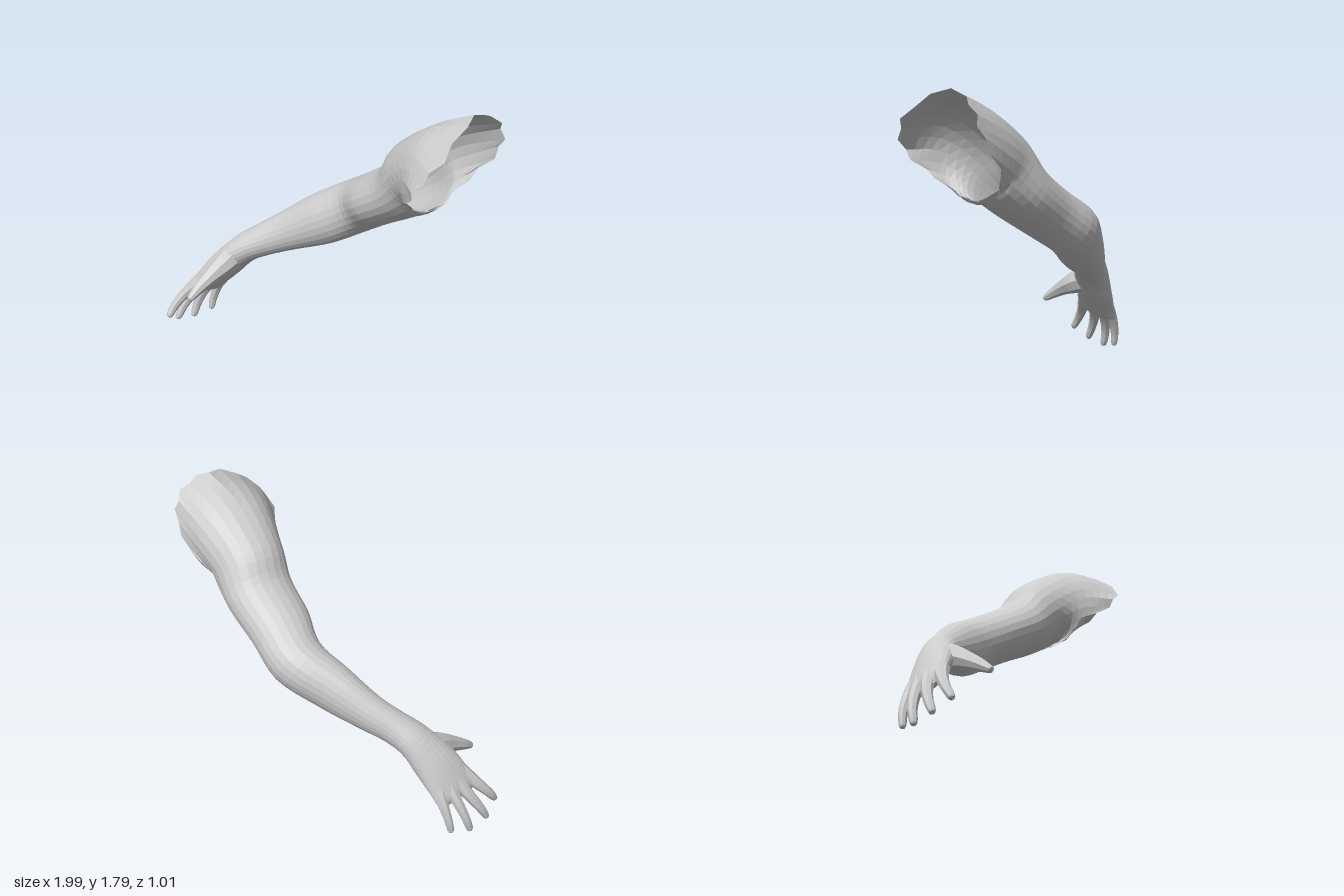
import * as THREE from 'three';

const V = (x, y, z) => new THREE.Vector3(x, y, z);
const skin = new THREE.MeshStandardMaterial({ color: 0xcccccc, flatShading: true, side: THREE.DoubleSide });

// Elliptical rings square to the path; each section is [x, y, z, height radius, width radius].
// widthDir gives the width direction for section i.
function makeRings(sections, sides, widthDir) {
  const centres = sections.map(s => V(s[0], s[1], s[2]));
  return sections.map((s, i) => {
    const t = centres[Math.min(i + 1, centres.length - 1)].clone()
      .sub(centres[Math.max(i - 1, 0)]).normalize();
    const v = widthDir(i).clone();
    v.addScaledVector(t, -v.dot(t)).normalize();
    const u = v.clone().cross(t);
    return ellipse(centres[i], u.multiplyScalar(s[3]), v.multiplyScalar(s[4]), sides);
  });
}

function ellipse(c, u, v, sides) {
  return Array.from({ length: sides }, (_, j) => {
    const a = j / sides * Math.PI * 2;
    return c.clone().addScaledVector(v, Math.cos(a)).addScaledVector(u, Math.sin(a));
  });
}

// Smooth skin through a list of rings
function loft(name, rings, steps) {
  const sides = rings[0].length;
  const pos = [], index = [];
  const lines = rings[0].map((_, j) => new THREE.CatmullRomCurve3(rings.map(r => r[j])));
  for (let i = 0; i <= steps; i++)
    for (const line of lines) pos.push(...line.getPoint(i / steps).toArray());
  for (let i = 0; i < steps; i++)
    for (let j = 0; j < sides; j++) {
      const k = (j + 1) % sides;
      const a = i * sides + j, b = i * sides + k, c = a + sides, d = b + sides;
      index.push(a, c, b, b, c, d);
    }
  const geo = new THREE.BufferGeometry();
  geo.setAttribute('position', new THREE.Float32BufferAttribute(pos, 3));
  geo.setIndex(index);
  geo.computeVertexNormals();
  const mesh = new THREE.Mesh(geo, skin);
  mesh.name = name;
  return mesh;
}

// Palm, wrist, forearm, upper arm and shoulder as one continuous skin
function makeArm() {
  const sides = 24;
  const sections = [
    [-0.895, 0.225, 0.205, 0.004, 0.1],     // closed end between the knuckles
    [-0.875, 0.255, 0.2, 0.036, 0.14],      // knuckles
    [-0.82, 0.34, 0.175, 0.06, 0.145],      // palm
    [-0.735, 0.45, 0.13, 0.085, 0.135],     // heel of the hand
    [-0.625, 0.575, 0.06, 0.095, 0.112],    // wrist
    [-0.53, 0.64, -0.005, 0.105, 0.1],
    [-0.41, 0.71, -0.09, 0.125, 0.105],     // forearm
    [-0.2, 0.83, -0.205, 0.163, 0.135],
    [0, 0.95, -0.305, 0.167, 0.168],        // elbow
    [0.2, 1.07, -0.28, 0.165, 0.197],
    [0.41, 1.2, -0.275, 0.18, 0.213],       // upper arm
    [0.55, 1.33, -0.25, 0.22, 0.222]
  ];
  const handWidth = V(0, 0.25, 0.97), armWidth = V(0, 0, 1);
  const rings = makeRings(sections, sides, i => i < 4 ? handWidth : armWidth);
  // Shoulder bulge
  rings.push(ellipse(V(0.685, 1.42, -0.21), V(0.025, 0.28, -0.02), V(0.02, 0.01, 0.272), sides));
  // Torn open edge: front, over the top, rear, armpit
  const edge = new THREE.CatmullRomCurve3([
    V(0.88, 1.44, 0.165), V(0.985, 1.62, 0.06), V(0.94, 1.79, -0.26), V(0.96, 1.71, -0.44),
    V(0.93, 1.54, -0.5), V(0.74, 1.3, -0.455), V(0.69, 1.165, -0.2), V(0.75, 1.28, 0.04)
  ], true);
  rings.push(Array.from({ length: sides }, (_, j) => {
    const p = edge.getPoint(j / sides);
    p.x += j % 2 ? 0.012 : -0.02;
    return p;
  }));
  return loft('arm', rings, 52);
}

// Tapered digit with a rounded tip
function makeDigit(name, points, r0, r1) {
  const path = new THREE.CatmullRomCurve3(points);
  const taper = [[0, 1], [0.25, 0.8], [0.5, 0.45], [0.75, 0.2], [0.92, 0], [0.985, -0.3], [1, -1]];
  const sections = taper.map(([t, k]) => {
    const p = path.getPoint(t);
    const r = k === -1 ? 0.002 : k < 0 ? r1 * 0.7 : r1 + (r0 - r1) * k;
    return [p.x, p.y, p.z, r, r];
  });
  return loft(name, makeRings(sections, 8, () => V(1, 0, 0)), 14);
}

export function createModel() {
  const group = new THREE.Group();
  group.name = 'rightArm';
  group.add(makeArm());

  const digits = [
    ['thumb', [V(-0.68, 0.52, 0.13), V(-0.67, 0.465, 0.27), V(-0.675, 0.405, 0.39), V(-0.672, 0.335, 0.505)], 0.085, 0.025],
    ['indexFinger', [V(-0.81, 0.37, 0.27), V(-0.875, 0.28, 0.335), V(-0.925, 0.19, 0.41), V(-0.935, 0.1, 0.475)], 0.045, 0.023],
    ['middleFinger', [V(-0.83, 0.35, 0.21), V(-0.9, 0.25, 0.255), V(-0.955, 0.145, 0.315), V(-0.975, 0.035, 0.375)], 0.045, 0.023],
    ['ringFinger', [V(-0.83, 0.34, 0.15), V(-0.9, 0.235, 0.175), V(-0.955, 0.125, 0.205), V(-0.975, 0.005, 0.24)], 0.043, 0.023],
    ['littleFinger', [V(-0.82, 0.34, 0.09), V(-0.875, 0.24, 0.09), V(-0.92, 0.14, 0.1), V(-0.938, 0.03, 0.118)], 0.04, 0.021]
  ];
  for (const d of digits) group.add(makeDigit(...d));
  return group;
}
